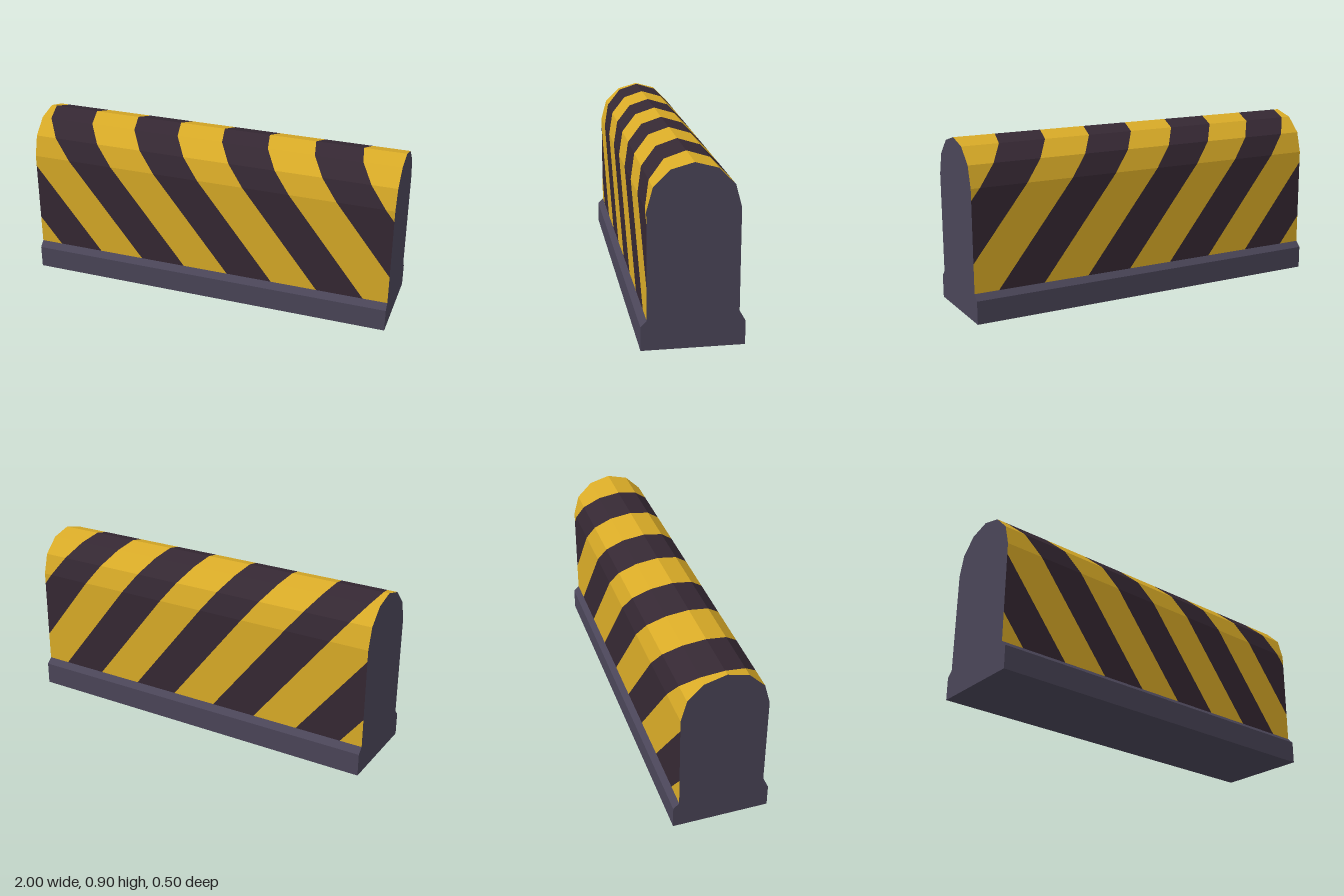
import * as THREE from 'three';

const material = (name, color) => {
  const m = new THREE.MeshStandardMaterial({ color });
  m.name = name;
  return m;
};

// half profile as [z, y], from the foot of the wall to the crown
const HALF = [[0.22, 0.15], [0.22, 0.68], [0.19, 0.79], [0.11, 0.87], [0, 0.9]];
const PROFILE = [...HALF, ...HALF.slice(0, -1).reverse().map(([z, y]) => [-z, y])];
const TOP = 0.9, LEAN = 0.787, STRIPE = 0.25, START = -0.97;

// keep the part of a convex polygon of [x, t] points where side * x <= 1
function clip(poly, side) {
  const out = [];
  poly.forEach((a, i) => {
    const b = poly[(i + 1) % poly.length];
    const da = 1 - side * a[0], db = 1 - side * b[0];
    if (da >= 0) out.push(a);
    if (da * db < 0) {
      const f = da / (da - db);
      out.push([a[0] + (b[0] - a[0]) * f, a[1] + (b[1] - a[1]) * f]);
    }
  });
  return out;
}

// every second slanted stripe, wrapped over the profile panel by panel
function stripes(parity) {
  const pos = [];
  for (let p = 0; p < PROFILE.length - 1; p++) {
    const [z0, y0] = PROFILE[p], [z1, y1] = PROFILE[p + 1];
    const s0 = (TOP - y0) * LEAN, s1 = (TOP - y1) * LEAN;
    for (let k = -4 + parity; k < 9; k += 2) {
      const a = START + k * STRIPE, b = a + STRIPE;
      const poly = clip(clip([[a + s0, 0], [b + s0, 0], [b + s1, 1], [a + s1, 1]], 1), -1);
      for (let i = 1; i < poly.length - 1; i++) {
        for (const [x, t] of [poly[0], poly[i], poly[i + 1]]) {
          pos.push(x, y0 + (y1 - y0) * t, z0 + (z1 - z0) * t);
        }
      }
    }
  }
  const g = new THREE.BufferGeometry();
  g.setAttribute('position', new THREE.Float32BufferAttribute(pos, 3));
  g.computeVertexNormals();
  return g;
}

const shapeOf = (pts) => new THREE.Shape(pts.map(([x, y]) => new THREE.Vector2(x, y)));

export function createModel() {
  const group = new THREE.Group();
  group.name = 'barrier';
  const yellow = material('yellow paint', 0xd9ab27);
  const dark = material('dark paint', 0x352833);
  const slate = material('slate', 0x4a4558);

  const add = (name, geometry, mat) => {
    const mesh = new THREE.Mesh(geometry, mat);
    mesh.name = name;
    group.add(mesh);
  };

  // bevelled plinth
  const foot = shapeOf([[-0.25, 0], [0.25, 0], [0.25, 0.12], [0.22, 0.15], [-0.22, 0.15], [-0.25, 0.12]]);
  const base = new THREE.ExtrudeGeometry(foot, { depth: 2, bevelEnabled: false });
  add('base', base.translate(0, 0, -1).rotateY(Math.PI / 2), slate);

  // striped wall
  add('darkStripes', stripes(0), dark);
  add('yellowStripes', stripes(1), yellow);

  // plain rounded ends
  for (const [name, s] of [['leftEnd', 1], ['rightEnd', -1]]) {
    const cap = new THREE.ShapeGeometry(shapeOf(PROFILE));
    add(name, cap.translate(0, 0, 1).rotateY(s * Math.PI / 2), slate);
  }
  return group;
}
